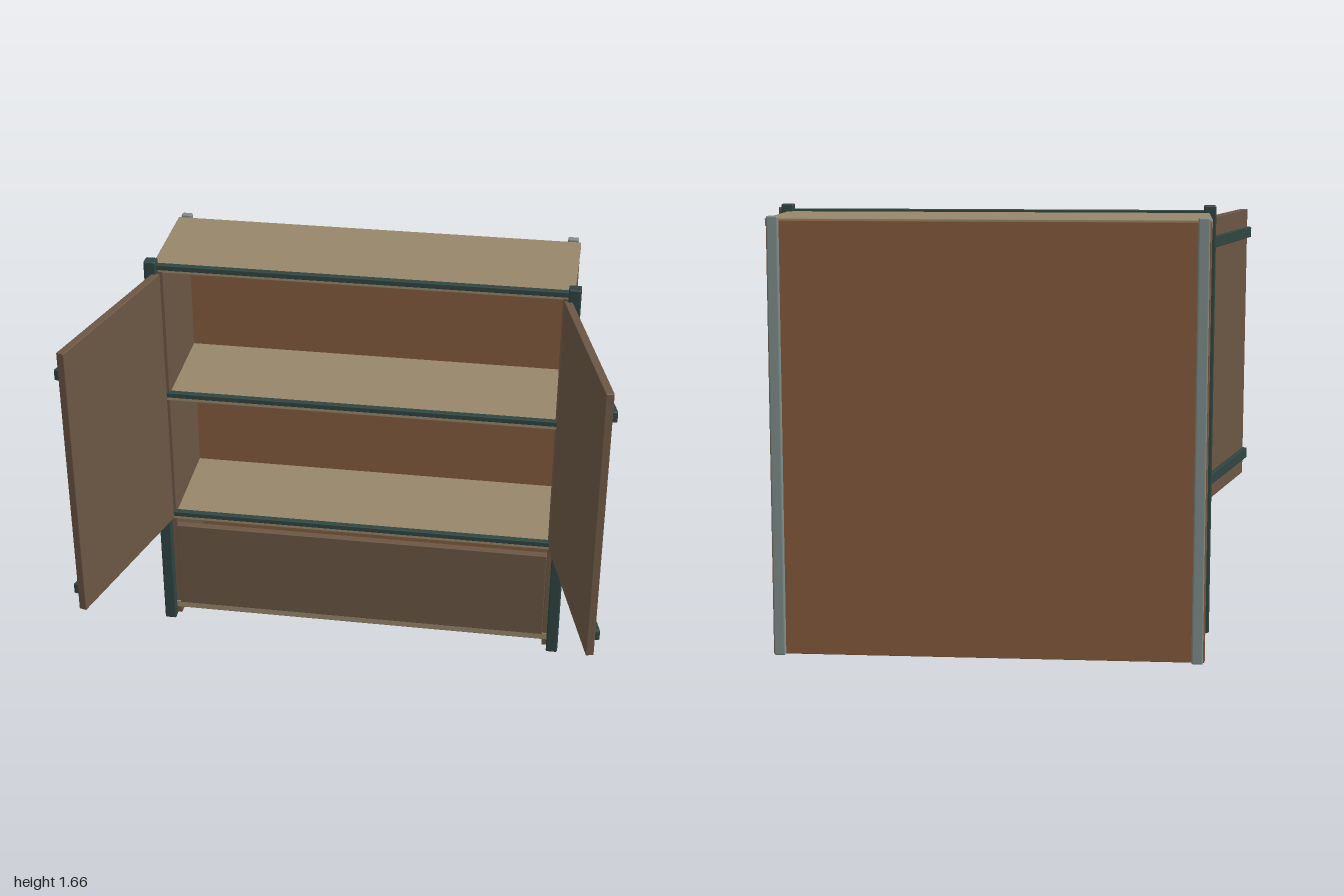
import * as THREE from 'three';
import { RoundedBoxGeometry } from 'three/addons/geometries/RoundedBoxGeometry.js';

const paint = (color) => new THREE.MeshStandardMaterial({ color });

export function createModel() {
  const model = new THREE.Group();
  model.name = 'cabinet';
  const wood = paint(0x6b5644);
  const board = paint(0x97876a);
  const backing = paint(0x855c3d);
  const metal = paint(0x2f4541);
  const grey = paint(0x7f8d8a);

  // Softly bevelled box given by its extents on each axis
  function slab(parent, name, material, [x0, x1], [y0, y1], [z0, z1], bevel = 0.003) {
    const mesh = new THREE.Mesh(
      new RoundedBoxGeometry(x1 - x0, y1 - y0, z1 - z0, 2, bevel), material);
    mesh.position.set((x0 + x1) / 2, (y0 + y1) / 2, (z0 + z1) / 2);
    mesh.name = name;
    parent.add(mesh);
    return mesh;
  }
  // Same, but ordered by side so that it can be mirrored in x
  const span = (s, a, b) => (s > 0 ? [a, b] : [-b, -a]);

  // Carcass
  slab(model, 'backPanel', backing, [-0.803, 0.803], [0.01, 1.63], [-0.575, -0.55]);
  slab(model, 'topBoard', board, [-0.807, 0.807], [1.607, 1.637], [-0.572, -0.115]);

  // Shelves, and the rails along their front edges
  const shelves = [['middleShelf', 1.048, 1.078], ['lowerShelf', 0.488, 0.518], ['bottomBoard', 0.04, 0.072]];
  for (const [name, y0, y1] of shelves)
    slab(model, name, board, [-0.79, 0.79], [y0, y1], [-0.56, -0.112]);
  for (const [name, y] of [['topRail', 1.636], ['middleRail', 1.079], ['lowerRail', 0.519]])
    slab(model, name, metal, [-0.79, 0.79], [y - 0.01, y + 0.011], [-0.123, -0.098]);

  // Lower front panel
  slab(model, 'lowerFrontPanel', wood, [-0.765, 0.765], [0.074, 0.462], [-0.132, -0.1]);

  for (const s of [1, -1]) {
    const side = s > 0 ? 'left' : 'right';
    slab(model, side + 'SidePanel', wood, span(s, 0.765, 0.805), [0.01, 1.615], [-0.56, -0.115]);
    slab(model, side + 'Post', metal, span(s, 0.785, 0.832), [0, 1.665], [-0.13, -0.083], 0.006);
    slab(model, side + 'BackStrip', grey, span(s, 0.755, 0.797), [0.01, 1.646], [-0.6, -0.573], 0.006);

    // Open door swung about the front post, with two straps outside
    const door = new THREE.Group();
    door.name = side + 'Door';
    door.position.set(s * 0.77, 0, -0.09);
    door.rotation.y = s * THREE.MathUtils.degToRad(15);
    slab(door, side + 'DoorPanel', wood, span(s, 0, 0.03), [0.505, 1.615], [0, 0.71]);
    for (const [name, y] of [['LowerStrap', 0.593], ['UpperStrap', 1.521]])
      slab(door, side + name, metal, span(s, 0.029, 0.048), [y - 0.021, y + 0.021], [0, 0.708]);
    model.add(door);
  }
  return model;
}
